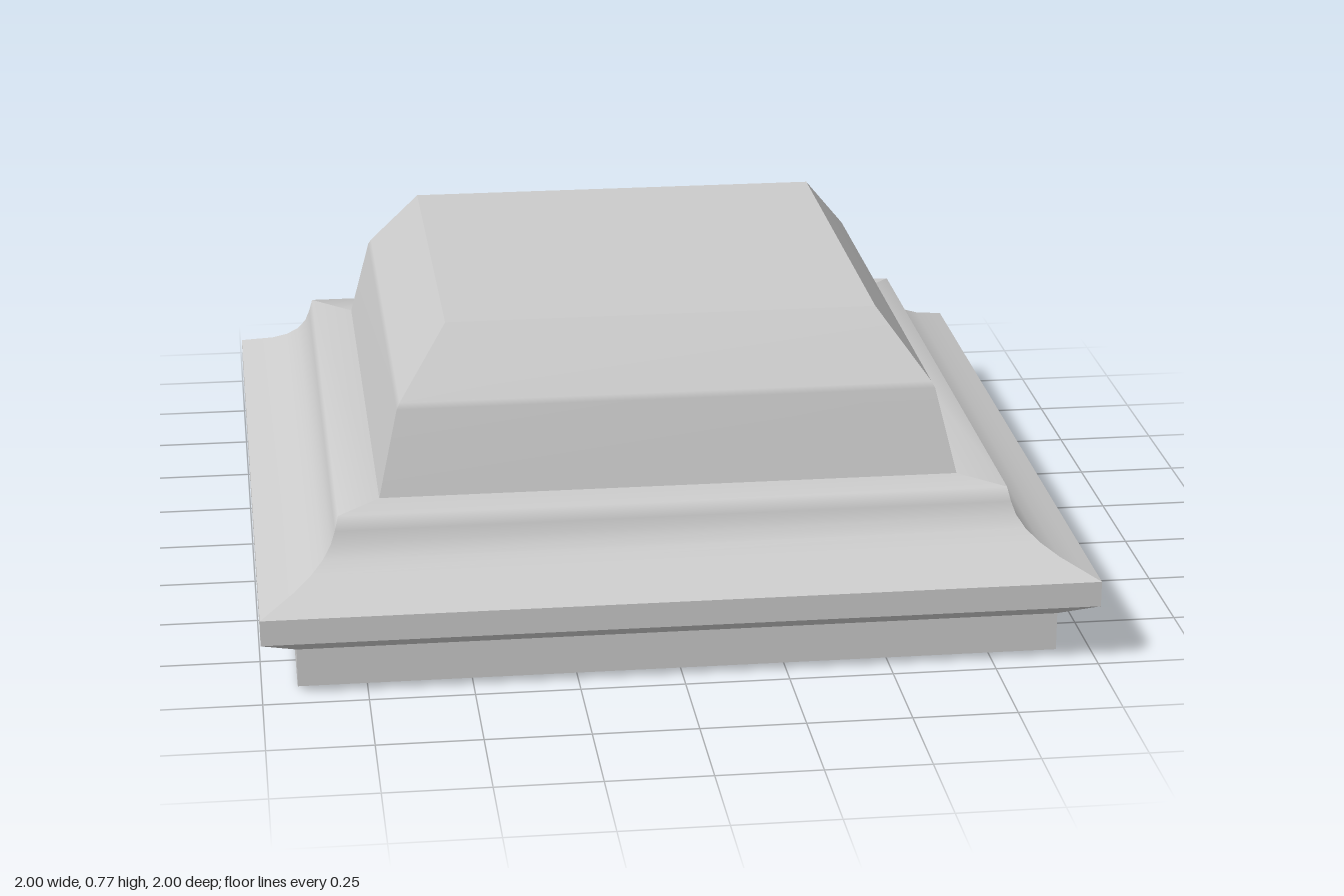
import * as THREE from 'three';
import { mergeGeometries } from 'three/addons/utils/BufferGeometryUtils.js';

const material = new THREE.MeshStandardMaterial({ color: 0xcccccc });

// One side of a square moulding: smooth along the profile [halfWidth, y], sharp at the mitres.
function side(profile) {
  const positions = [], index = [];
  profile.forEach(([r, y], i) => {
    positions.push(-r, y, r, r, y, r);
    if (i > 0) {
      const a = 2 * (i - 1);
      index.push(a, a + 1, a + 3, a, a + 3, a + 2);
    }
  });
  const geometry = new THREE.BufferGeometry();
  geometry.setAttribute('position', new THREE.Float32BufferAttribute(positions, 3));
  geometry.setIndex(index);
  geometry.computeVertexNormals();
  return geometry;
}

// Four mitred sides for every profile; edges between separate profiles stay sharp.
function squareMoulding(name, ...profiles) {
  const parts = [];
  for (const profile of profiles) {
    for (let k = 0; k < 4; k++) parts.push(side(profile).rotateY(k * Math.PI / 2));
  }
  const mesh = new THREE.Mesh(mergeGeometries(parts), material);
  mesh.name = name;
  return mesh;
}

export function createModel() {
  const group = new THREE.Group();
  group.name = 'postCap';

  // Plinth with a slightly raised outer margin underneath
  group.add(squareMoulding('plinth',
    [[0, 0], [0.87, 0], [0.915, 0.005]],
    [[0.915, 0.005], [0.915, 0.1]]));

  // Flared moulding: sloped underside, upright rim, cove and ledge
  group.add(squareMoulding('coveMoulding',
    [[0.915, 0.1], [1, 0.15]],
    [[1, 0.15], [1, 0.213]],
    [[1, 0.213], [0.96, 0.229], [0.915, 0.247], [0.875, 0.27], [0.845, 0.296],
      [0.825, 0.325], [0.814, 0.355], [0.805, 0.39], [0.69, 0.39]]));

  // Two-slope crown with a flat top
  group.add(squareMoulding('crown',
    [[0.703, 0.385], [0.653, 0.595], [0.645, 0.61], [0.525, 0.767]],
    [[0.525, 0.767], [0, 0.767]]));

  return group;
}
